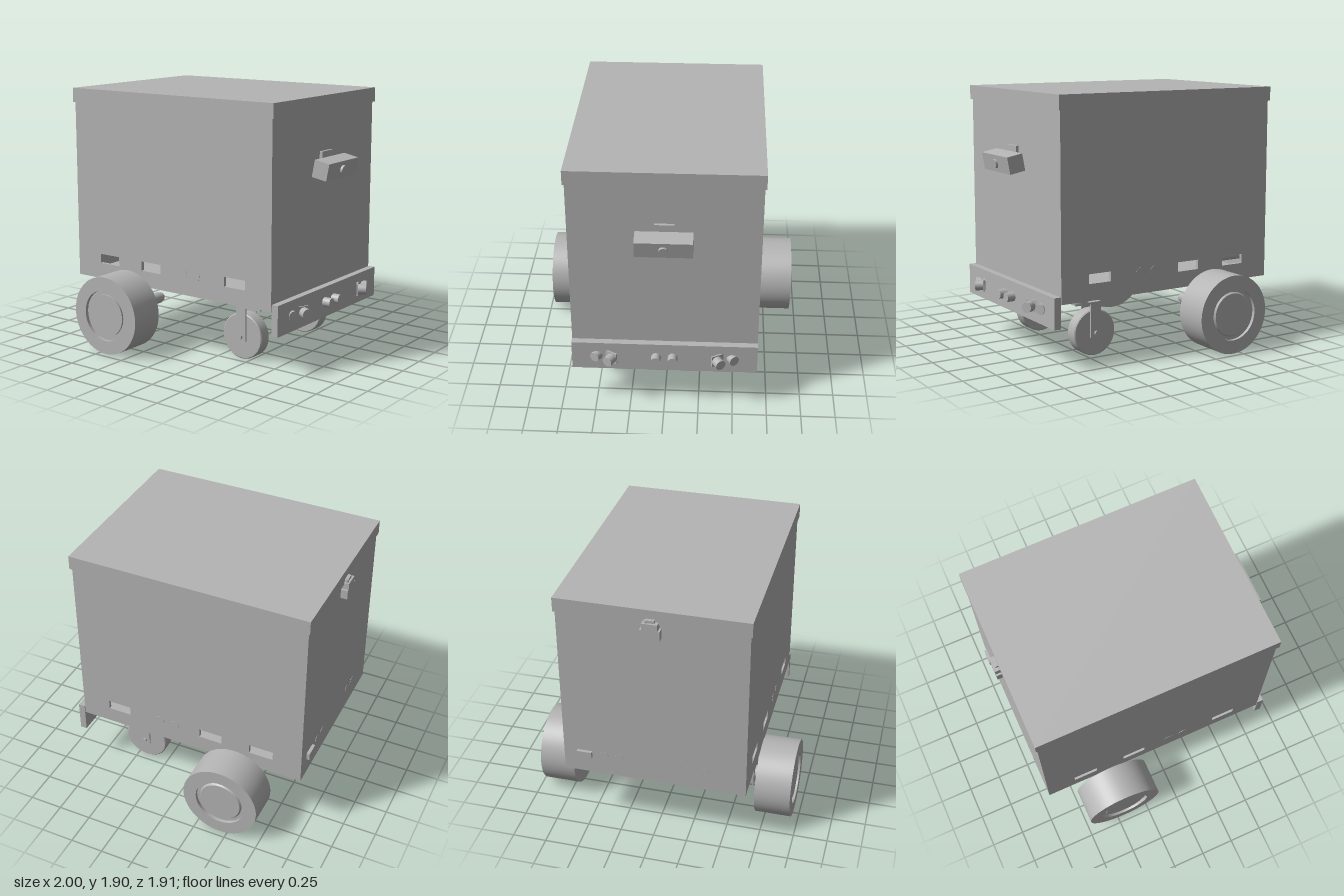
import * as THREE from 'three';
import { toCreasedNormals } from 'three/addons/utils/BufferGeometryUtils.js';

export function createModel() {
  const root = new THREE.Group();
  root.name = 'wheeledCart';
  const grey = new THREE.MeshStandardMaterial({ color: 0xb4b4b4 });
  grey.name = 'plainGrey';

  const add = (name, geo, parent = root) => {
    const m = new THREE.Mesh(geo, grey);
    m.name = name;
    parent.add(m);
    return m;
  };
  // Box given by its minimum and maximum on each axis
  const box = (name, x0, x1, y0, y1, z0, z1, parent) => {
    const m = add(name, new THREE.BoxGeometry(x1 - x0, y1 - y0, z1 - z0), parent);
    m.position.set((x0 + x1) / 2, (y0 + y1) / 2, (z0 + z1) / 2);
    return m;
  };
  // Cylinder running between two points
  const up = new THREE.Vector3(0, 1, 0);
  const rod = (name, a, b, r, parent) => {
    const p = new THREE.Vector3(...a), q = new THREE.Vector3(...b);
    const d = q.clone().sub(p);
    const m = add(name, new THREE.CylinderGeometry(r, r, d.length(), 32), parent);
    m.position.copy(p).add(q).multiplyScalar(0.5);
    m.quaternion.setFromUnitVectors(up, d.normalize());
    return m;
  };
  // Wheel turning about z, from a half profile of [radius, offset]
  const wheel = (name, profile, x, y, z, parent) => {
    const geo = new THREE.LatheGeometry(profile.map(p => new THREE.Vector2(...p)), 64);
    const m = add(name, toCreasedNormals(geo.rotateX(Math.PI / 2), 0.5), parent);
    m.position.set(x, y, z);
  };

  // Hollow body: floor, end walls and slotted side walls
  const T = 0.025;
  box('floor', -0.95, 0.83, 0.47, 0.49, -0.67, 0.67);
  box('rearWall', -0.95, -0.95 + T, 0.47, 1.8, -0.67, 0.67);
  box('frontWall', 0.83 - T, 0.83, 0.47, 1.8, -0.67, 0.67);
  const side = new THREE.Shape();
  side.moveTo(-0.95, 0.47).lineTo(0.83, 0.47).lineTo(0.83, 1.8).lineTo(-0.95, 1.8).closePath();
  for (const [a, b] of [[-0.73, -0.545], [-0.325, -0.145], [0.43, 0.61]]) {
    const slot = new THREE.Path();
    slot.moveTo(a, 0.59).lineTo(a, 0.66).lineTo(b, 0.66).lineTo(b, 0.59).closePath();
    side.holes.push(slot);
  }
  for (const z of [-0.67, 0.67 - T]) {
    add('sideWall', new THREE.ExtrudeGeometry(side, { depth: T, bevelEnabled: false })).position.z = z;
  }

  // Lid with an overhanging rim
  box('lid', -0.962, 0.845, 1.8, 1.905, -0.682, 0.682);

  // Flush round sensors on the sides and rear
  for (const s of [-1, 1]) {
    for (const x of [0.06, 0.18]) rod('sideSensor', [x, 0.625, s * 0.66], [x, 0.625, s * 0.672], 0.037);
    for (const z of [0.26, 0.37]) rod('rearSensor', [-0.94, 0.625, s * z], [-0.952, 0.625, s * z], 0.035);
  }

  // Rear socket with its inner barrel, and the lid latch
  box('rearSocket', -0.973, -0.94, 0.6, 0.655, -0.57, -0.46);
  rod('socketBarrel', [-0.94, 0.625, -0.515], [-0.58, 0.625, -0.515], 0.037);
  const latch = new THREE.Group();
  latch.name = 'latch';
  root.add(latch);
  box('latchBase', -1, -0.95, 1.7, 1.77, -0.07, 0.07, latch);
  box('latchBody', -1, -0.95, 1.77, 1.82, -0.055, 0.055, latch);
  box('latchHook', -0.985, -0.955, 1.82, 1.84, -0.03, 0.03, latch);
  rod('latchPin', [-0.975, 1.8, -0.03], [-0.975, 1.835, -0.03], 0.014, latch);

  // Tilted camera unit on the front wall
  box('cameraMount', 0.83, 0.852, 1.32, 1.51, -0.07, 0.07);
  const unit = new THREE.Group();
  unit.name = 'cameraUnit';
  unit.position.set(0.918, 1.397, 0);
  unit.rotation.z = -0.19;
  root.add(unit);
  box('cameraBody', -0.06, 0.06, -0.063, 0.063, -0.2, 0.2, unit);
  rod('cameraLens', [0.05, 0, 0], [0.077, 0, 0], 0.033, unit);

  // Front bumper with straight and splayed sensors
  box('bumper', 0.835, 0.885, 0.3, 0.525, -0.67, 0.67);
  for (const s of [-1, 1]) {
    rod('centreSensor', [0.87, 0.415, s * 0.06], [0.945, 0.415, s * 0.06], 0.035);
    rod('outerSensor', [0.85, 0.415, s * 0.47], [0.91, 0.415, s * 0.505], 0.037);
    rod('innerSensor', [0.9, 0.415, s * 0.372], [0.962, 0.415, s * 0.408], 0.038);
    const plate = box('sensorPlate', 0.885, 0.897, 0.372, 0.46, s * 0.385 - 0.05, s * 0.385 + 0.05);
    plate.rotation.y = -s * 0.5;
    plate.position.x = 0.9;
  }

  for (const s of [-1, 1]) {
    // Drive wheel with a recessed hub on both faces
    const drive = new THREE.Group();
    drive.name = 'driveWheel';
    root.add(drive);
    const w = 0.132;
    wheel('driveTyre', [[0, -w + 0.012], [0.155, -w + 0.012], [0.165, -w + 0.025], [0.19, -w + 0.025], [0.19, -w],
      [0.29, -w], [0.29, w], [0.19, w], [0.19, w - 0.025], [0.155, w - 0.025], [0.155, w - 0.012], [0, w - 0.012]],
    -0.44, 0.29, s * 0.823, drive);
    // Motor, gearbox and hanging bracket
    const z = v => s * v;
    rod('axle', [-0.44, 0.29, z(0.6)], [-0.44, 0.29, z(0.72)], 0.048, drive);
    rod('gearbox', [-0.44, 0.29, z(0.48)], [-0.44, 0.29, z(0.64)], 0.05, drive);
    rod('motor', [-0.44, 0.29, z(0.34)], [-0.44, 0.29, z(0.48)], 0.043, drive);
    rod('motorCap', [-0.44, 0.29, z(0.31)], [-0.44, 0.29, z(0.34)], 0.035, drive);
    const b = (name, x0, x1, y0, y1, za, zb) =>
      box(name, x0, x1, y0, y1, Math.min(z(za), z(zb)), Math.max(z(za), z(zb)), drive);
    b('bracketPlate', -0.52, -0.36, 0.215, 0.47, 0.635, 0.647);
    b('bracketBlock', -0.5, -0.38, 0.34, 0.47, 0.54, 0.64);

    // Swivel caster
    const caster = new THREE.Group();
    caster.name = 'caster';
    caster.position.z = s * 0.4;
    root.add(caster);
    wheel('casterTyre', [[0, -0.05], [0.163, -0.05], [0.17, -0.043], [0.17, 0.043], [0.163, 0.05], [0, 0.05]],
      0.43, 0.17, 0, caster);
    box('casterMount', 0.4, 0.685, 0.44, 0.47, -0.11, 0.11, caster);
    rod('swivel', [0.545, 0.4, 0], [0.545, 0.44, 0], 0.08, caster);
    box('forkCrown', 0.39, 0.6, 0.388, 0.402, -0.07, 0.07, caster);
    for (const f of [-1, 1]) {
      box('forkLeg', 0.39, 0.475, 0.14, 0.4, f * 0.064 - 0.006, f * 0.064 + 0.006, caster);
    }
    rod('casterBolt', [0.43, 0.17, -0.085], [0.43, 0.17, 0.085], 0.017, caster);
  }
  return root;
}
